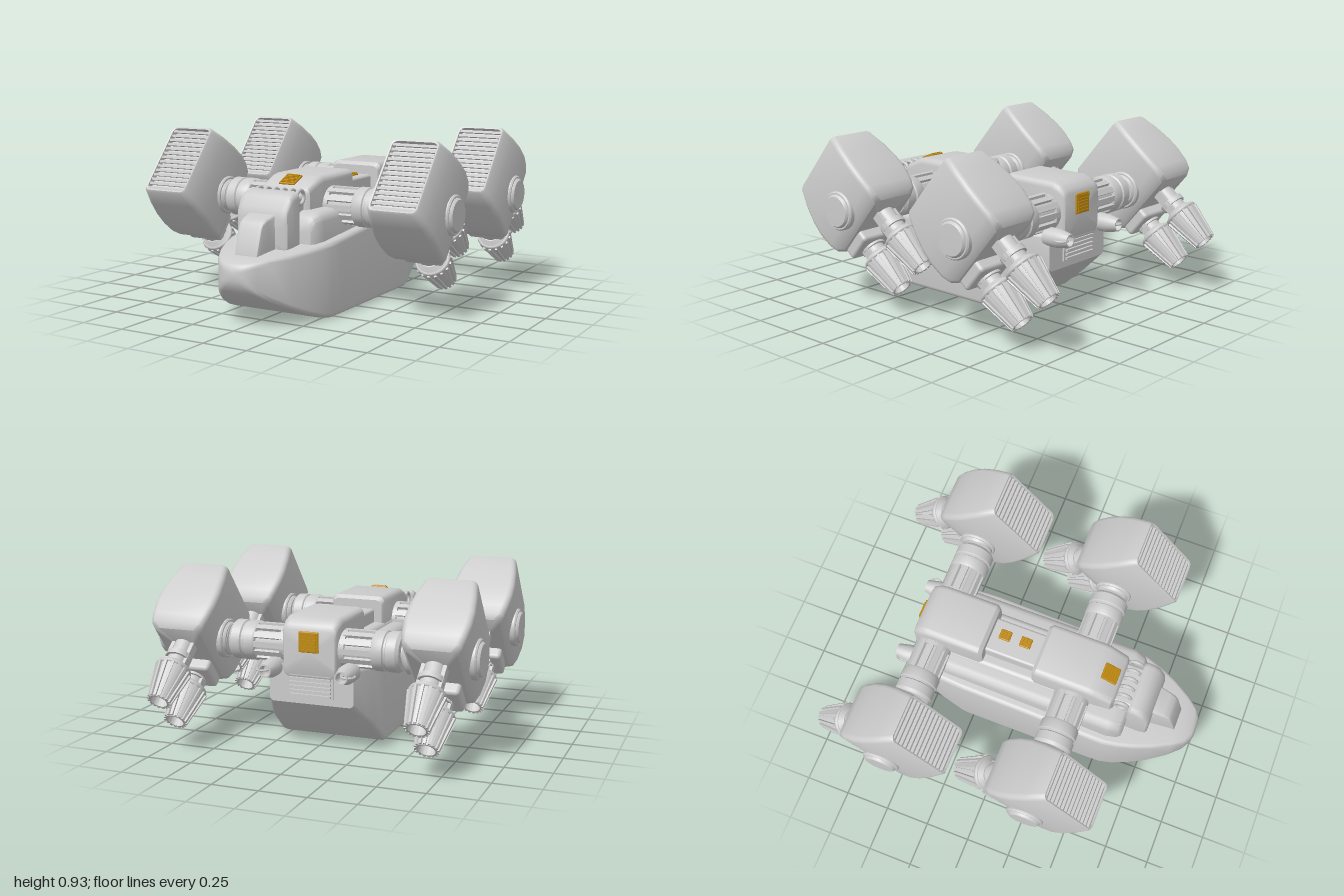
import * as THREE from 'three';
import { toCreasedNormals } from 'three/addons/utils/BufferGeometryUtils.js';
import { RoundedBoxGeometry } from 'three/addons/geometries/RoundedBoxGeometry.js';

const grey = new THREE.MeshStandardMaterial({ color: 0xcccccc });
const greyThin = new THREE.MeshStandardMaterial({ color: 0xcccccc, side: THREE.DoubleSide });
const amber = new THREE.MeshStandardMaterial({ color: 0xc08a10 });

function add(parent, name, geo, x = 0, y = 0, z = 0, mat = grey) {
  const m = new THREE.Mesh(geo, mat);
  m.name = name;
  m.position.set(x, y, z);
  parent.add(m);
  return m;
}

// Rounded-rectangle sections [z, halfWidth, bottom, top], listed front to back
function loft(sections, radius, crease = 0.7) {
  const pos = [], idx = [], n = 20;
  for (const [z, w, b, t] of sections) {
    const r = Math.min(radius, w * 0.9, (t - b) * 0.45), cx = w - r, cy = (t - b) / 2 - r;
    for (let c = 0; c < 4; c++) for (let k = 0; k < 5; k++) {
      const a = (c + k / 4) * Math.PI / 2;
      const sx = c === 0 || c === 3 ? 1 : -1, sy = c < 2 ? 1 : -1;
      pos.push(sx * cx + r * Math.cos(a), (t + b) / 2 + sy * cy + r * Math.sin(a), z);
    }
  }
  const last = sections.length - 1;
  for (let i = 0; i < last; i++) for (let j = 0; j < n; j++) {
    const a = i * n + j, b = i * n + (j + 1) % n;
    idx.push(a, a + n, b, b, a + n, b + n);
  }
  for (const i of [0, last]) {
    const [z, , b, t] = sections[i], c = pos.length / 3;
    pos.push(0, (b + t) / 2, z);
    for (let j = 0; j < n; j++) {
      const p = i * n + j, q = i * n + (j + 1) % n;
      if (i === 0) idx.push(c, p, q); else idx.push(c, q, p);
    }
  }
  const g = new THREE.BufferGeometry();
  g.setAttribute('position', new THREE.Float32BufferAttribute(pos, 3));
  g.setIndex(idx);
  return toCreasedNormals(g, crease);
}

// Lathe from [radius, height] pairs, heights rising, with crisp edges
const turned = (pts, seg = 32) =>
  toCreasedNormals(new THREE.LatheGeometry(pts.map(p => new THREE.Vector2(...p)), seg), 0.6);

// Fluted exhaust, local -z is the outlet
function makeNozzle() {
  const g = new THREE.Group();
  g.name = 'exhaustNozzle';
  const L = 0.22;
  const cone = add(g, 'nozzleCone', turned([[0, -0.02], [0.06, -0.02], [0.085, 0], [0.088, 0.03], [0.053, L], [0.045, L], [0.042, 0.1], [0, 0.1]], 28), 0, 0, 0, greyThin);
  cone.rotation.x = -Math.PI / 2;
  add(g, 'nozzleCollar', new THREE.TorusGeometry(0.083, 0.013, 8, 28), 0, 0, -0.012);
  for (let i = 0; i < 16; i++) {
    const holder = new THREE.Group();
    holder.rotation.z = i / 16 * Math.PI * 2;
    const rib = add(holder, 'nozzleRib', new THREE.BoxGeometry(0.014, 0.016, L - 0.02), 0, 0.074, -L / 2 - 0.01);
    rib.rotation.x = -0.18;
    g.add(holder);
  }
  return g;
}

// Tilted engine pod, pivoting on the end of its arm
function makePod() {
  const g = new THREE.Group();
  g.name = 'enginePod';
  g.rotation.x = -40 * Math.PI / 180;
  // shell with a recessed intake at the front
  add(g, 'podShell', loft([[0.275, 0.122, -0.178, 0.222], [0.306, 0.124, -0.18, 0.224], [0.308, 0.132, -0.188, 0.232],
    [0.297, 0.138, -0.196, 0.239], [0.2, 0.159, -0.214, 0.252], [0.1, 0.172, -0.228, 0.26], [0.02, 0.173, -0.235, 0.262],
    [-0.06, 0.163, -0.236, 0.258], [-0.11, 0.152, -0.224, 0.246], [-0.135, 0.13, -0.2, 0.22]], 0.03));
  add(g, 'podRearBlock', new RoundedBoxGeometry(0.22, 0.17, 0.14, 3, 0.02), 0, -0.115, -0.125);
  for (let i = 0; i < 14; i++) {
    const slat = add(g, 'intakeSlat', new THREE.BoxGeometry(0.244, 0.014, 0.026), 0, -0.165 + i * 0.0288, 0.29);
    slat.rotation.x = 0.4;
  }
  for (const s of [-1, 1]) {
    const cap = add(g, 'pivotCap', turned([[0.105, 0.12], [0.105, 0.178], [0.098, 0.186], [0.09, 0.186], [0.087, 0.192], [0.08, 0.2], [0, 0.202]], 36));
    cap.rotation.z = -s * Math.PI / 2;
  }
  // upper and lower exhausts with their mounts
  for (const [y, z] of [[0.09, -0.285], [-0.125, -0.258]]) {
    const n = makeNozzle();
    n.position.set(0, y, z);
    g.add(n);
    const mount = add(g, 'nozzleMount', turned([[0.055, -0.1], [0.055, -0.03], [0.068, -0.03], [0.068, 0], [0.05, 0], [0.05, 0.1]], 24), 0, y, z + 0.08, greyThin);
    mount.rotation.x = Math.PI / 2;
    for (const x of [-0.055, 0.055])
      add(g, 'mountStrut', new THREE.BoxGeometry(0.02, 0.05, 0.15), x, y, z + 0.08);
  }
  return g;
}

// Ribbed arm pointing along +x from the body
function makeArm() {
  const g = new THREE.Group();
  g.name = 'podArm';
  const core = add(g, 'armCore', turned([[0.085, 0.08], [0.085, 0.32], [0.1, 0.325], [0.106, 0.335], [0.106, 0.385],
    [0.098, 0.39], [0.098, 0.4], [0.106, 0.406], [0.106, 0.455], [0.092, 0.472], [0.06, 0.474],
    [0.06, 0.482], [0.08, 0.487], [0.08, 0.515], [0.06, 0.54]], 36), 0, 0, 0, greyThin);
  core.rotation.z = -Math.PI / 2;
  for (let i = 0; i < 12; i++) {
    const a = i / 12 * Math.PI * 2;
    const rib = add(g, 'armRib', new THREE.BoxGeometry(0.17, 0.024, 0.03), 0.24, 0.088 * Math.cos(a), 0.088 * Math.sin(a));
    rib.rotation.x = a;
  }
  const root = add(g, 'armRoot', new THREE.CylinderGeometry(0.1, 0.1, 0.06, 32), 0.15);
  root.rotation.z = Math.PI / 2;
  return g;
}

// Amber panel with raised bars
function makePanel(w, h, bars) {
  const g = new THREE.Group();
  g.name = 'amberPanel';
  add(g, 'panelBase', new RoundedBoxGeometry(w, 0.014, h, 2, 0.006), 0, 0, 0, amber);
  for (let i = 0; i < bars; i++)
    add(g, 'panelBar', new THREE.BoxGeometry(w * 0.8, 0.012, h / bars * 0.5), 0, 0.006, ((i + 0.5) / bars - 0.5) * h * 0.9, amber);
  return g;
}

export function createModel() {
  const model = new THREE.Group();
  model.name = 'fourEngineCraft';

  // boat-shaped hull
  add(model, 'hull', loft([[1, 0.04, 0.25, 0.305], [0.988, 0.075, 0.22, 0.328], [0.96, 0.113, 0.185, 0.343], [0.9, 0.158, 0.143, 0.355],
    [0.8, 0.215, 0.09, 0.368], [0.7, 0.257, 0.045, 0.38], [0.61, 0.285, 0.014, 0.39], [0.54, 0.298, 0.001, 0.397], [0.45, 0.3, 0, 0.405],
    [0.1, 0.3, 0, 0.435], [-0.29, 0.3, 0, 0.455], [-0.32, 0.3, 0.014, 0.457], [-0.46, 0.29, 0.13, 0.46], [-0.61, 0.235, 0.255, 0.46]], 0.025));

  // raised decks and spine
  add(model, 'deck', loft([[0.62, 0.215, 0.3, 0.5], [0.6, 0.235, 0.3, 0.53], [0.54, 0.25, 0.3, 0.55], [-0.42, 0.25, 0.3, 0.55], [-0.47, 0.23, 0.3, 0.53]], 0.05));
  add(model, 'innerDeck', new RoundedBoxGeometry(0.33, 0.2, 0.8, 3, 0.03), 0, 0.47, -0.05);
  add(model, 'spine', new RoundedBoxGeometry(0.2, 0.2, 0.6, 3, 0.015), 0, 0.545, -0.06);

  // front housing, cowl and nose step
  add(model, 'frontHousing', loft([[0.53, 0.13, 0.4, 0.645], [0.515, 0.148, 0.4, 0.665], [0.42, 0.155, 0.4, 0.705], [0.38, 0.156, 0.4, 0.713],
    [0.08, 0.156, 0.4, 0.713], [0.06, 0.145, 0.4, 0.695]], 0.035));
  add(model, 'cowlNeck', new RoundedBoxGeometry(0.24, 0.25, 0.16, 3, 0.02), 0, 0.5, 0.56);
  add(model, 'cowl', loft([[0.745, 0.135, 0.35, 0.53], [0.735, 0.15, 0.35, 0.58], [0.7, 0.156, 0.35, 0.635], [0.67, 0.156, 0.35, 0.652],
    [0.63, 0.156, 0.35, 0.66], [0.615, 0.148, 0.35, 0.652]], 0.035));
  add(model, 'noseStep', loft([[0.885, 0.066, 0.32, 0.365], [0.848, 0.069, 0.32, 0.49], [0.832, 0.071, 0.32, 0.518], [0.8, 0.075, 0.32, 0.535],
    [0.72, 0.085, 0.32, 0.555]], 0.015));
  // looped pipes between housing and cowl
  for (let i = 0; i < 6; i++) {
    const pipe = add(model, 'loopPipe', new THREE.TorusGeometry(0.036, 0.01, 8, 20), -0.125 + i * 0.05, 0.62, 0.572);
    pipe.rotation.y = Math.PI / 2;
  }

  // rear housing with grille
  add(model, 'rearHousing', loft([[-0.23, 0.145, 0.4, 0.695], [-0.25, 0.156, 0.4, 0.713], [-0.55, 0.156, 0.4, 0.713], [-0.59, 0.154, 0.4, 0.7],
    [-0.625, 0.148, 0.4, 0.675], [-0.635, 0.14, 0.42, 0.65]], 0.035));
  add(model, 'rearGrilleFrame', new THREE.BoxGeometry(0.25, 0.16, 0.06), 0, 0.37, -0.59);
  for (let i = 0; i < 7; i++)
    add(model, 'rearGrilleSlat', new THREE.BoxGeometry(0.23, 0.011, 0.025), 0, 0.305 + i * 0.022, -0.62);

  // amber panels
  for (const [w, h, bars, x, y, z, rx] of [[0.095, 0.095, 6, 0, 0.69, 0.463, 0.4], [0.06, 0.065, 3, 0.015, 0.647, -0.035, 0],
    [0.06, 0.065, 3, 0.015, 0.647, -0.155, 0], [0.11, 0.11, 6, 0, 0.59, -0.637, -Math.PI / 2]]) {
    const p = makePanel(w, h, bars);
    p.position.set(x, y, z);
    p.rotation.x = rx;
    model.add(p);
  }

  // mirrored engines, arms and rear thrusters
  for (const s of [-1, 1]) {
    for (const [podZ, armZ] of [[0.3, 0.3], [-0.527, -0.515]]) {
      const pod = makePod();
      pod.position.set(s * 0.69, 0.55, podZ);
      const arm = makeArm();
      arm.position.set(0, 0.55, armZ);
      if (s < 0) arm.rotation.y = Math.PI;
      model.add(pod, arm);
    }
    const thruster = add(model, 'rearThruster', turned([[0.05, 0], [0.05, 0.08], [0.035, 0.15], [0.028, 0.15], [0.025, 0.1], [0, 0.1]], 20), s * 0.21, 0.44, -0.575, greyThin);
    thruster.rotation.x = -Math.PI / 2;
    const ring = add(model, 'thrusterRing', new THREE.TorusGeometry(0.034, 0.006, 8, 20), s * 0.235, 0.44, -0.685);
    ring.rotation.x = Math.PI / 2;
  }
  return model;
}
